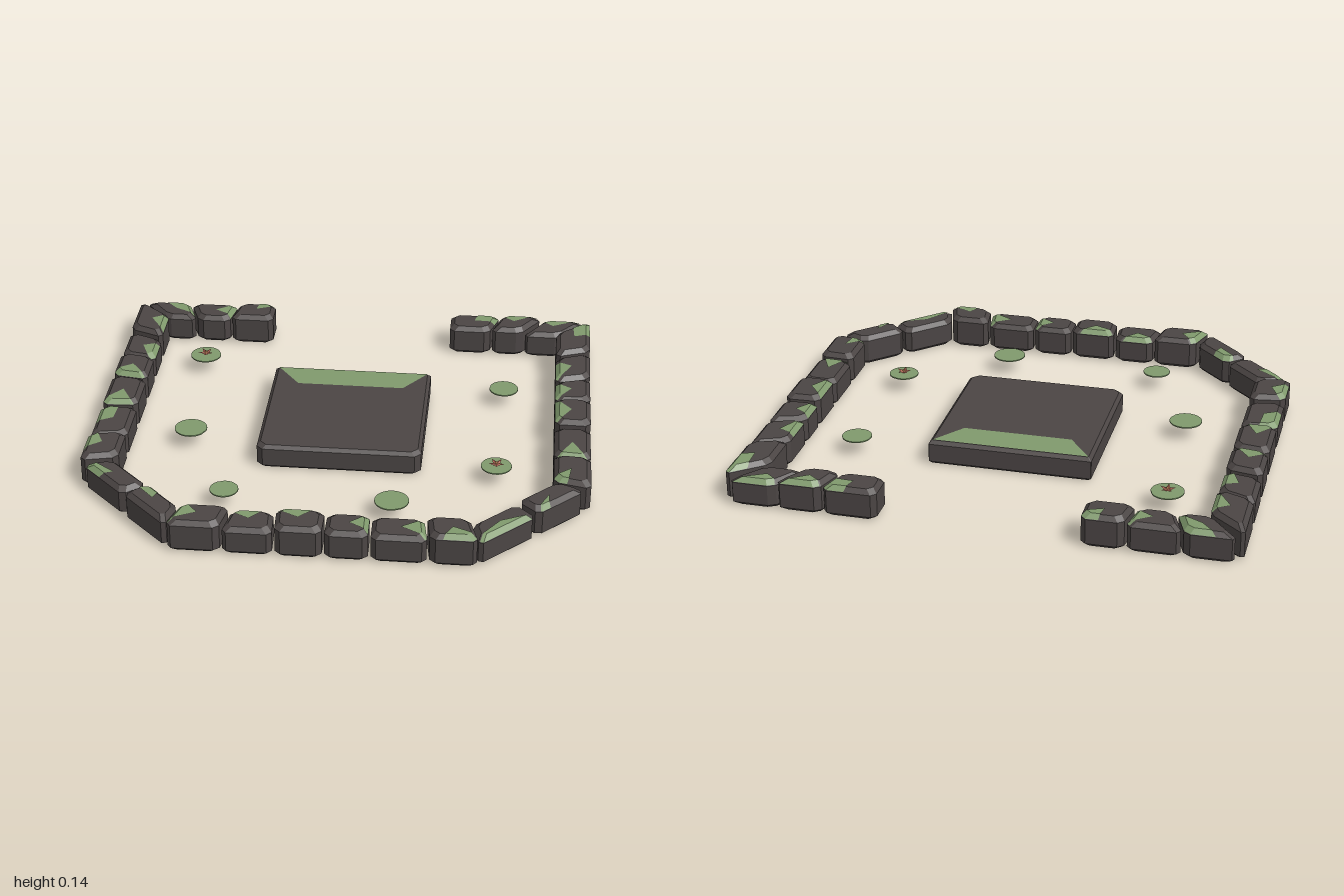
import * as THREE from 'three';

const stoneMat = new THREE.MeshStandardMaterial({ color: 0x4b4544 });
const mossMat = new THREE.MeshStandardMaterial({ color: 0x809a6d, side: THREE.DoubleSide });
const petalMat = new THREE.MeshStandardMaterial({ color: 0xb86f5c });
const heartMat = new THREE.MeshStandardMaterial({ color: 0xc98a5a });

const lerp2 = (p, q, t) => [p[0] + (q[0] - p[0]) * t, p[1] + (q[1] - p[1]) * t];

// Plan outline of a quad, inset by d, with its four corners cut by c
function outline(quad, d, c) {
  const dir = (p, q) => {
    const l = Math.hypot(q[0] - p[0], q[1] - p[1]);
    return [(q[0] - p[0]) / l, (q[1] - p[1]) / l];
  };
  const inset = quad.map((p, i) => {
    const e = dir(p, quad[(i + 1) % 4]), f = dir(p, quad[(i + 3) % 4]);
    const k = d / Math.abs(e[0] * f[1] - e[1] * f[0]);
    return [p[0] + k * (e[0] + f[0]), p[1] + k * (e[1] + f[1])];
  });
  const ring = [];
  inset.forEach((p, i) => {
    const q = inset[(i + 1) % 4], e = dir(p, q), c0 = c[i], c1 = c[(i + 1) % 4];
    ring.push([p[0] + e[0] * c0, p[1] + e[1] * c0], [q[0] - e[0] * c1, q[1] - e[1] * c1]);
  });
  return ring;
}

// Flat-faced mesh from a list of triangle corners
function meshOf(name, corners, mat) {
  const g = new THREE.BufferGeometry();
  g.setAttribute('position', new THREE.Float32BufferAttribute(corners.flat(), 3));
  g.computeVertexNormals();
  const m = new THREE.Mesh(g, mat);
  m.name = name;
  return m;
}

// Bevelled block lofted through four outlines
function block(name, quad, h, bevel, cut) {
  const levels = [[0, bevel * 0.8], [bevel * 0.8, 0], [h - bevel, 0], [h, bevel]];
  const rings = levels.map(([y, d]) => outline(quad, d, cut).map(([x, z]) => [x, y, z]));
  const tris = [];
  for (let k = 0; k < 3; k++) {
    for (let i = 0; i < 8; i++) {
      const j = (i + 1) % 8, lo = rings[k], hi = rings[k + 1];
      tris.push(lo[i], lo[j], hi[j], lo[i], hi[j], hi[i]);
    }
  }
  for (let i = 1; i < 7; i++) {
    tris.push(rings[3][0], rings[3][i], rings[3][i + 1]);
    tris.push(rings[0][0], rings[0][i + 1], rings[0][i]);
  }
  return meshOf(name, tris, stoneMat);
}

// Moss patch: hangs over the bevel from t0 to t1 round the rim, with its tip near the middle
function moss(quad, h, bevel, cut, [t0, t1]) {
  const at = (ring, y, t) => {
    const i = Math.floor(t), p = lerp2(ring[i % 8], ring[(i + 1) % 8], t - i);
    return [p[0], y + 0.003, p[1]];
  };
  const ts = [t0];
  for (let i = Math.floor(t0) + 1; i < t1; i++) ts.push(i);
  ts.push(t1);
  const top = outline(quad, bevel, cut), low = outline(quad, 0, cut);
  const rim = ts.map(t => at(top, h, t)), edge = ts.map(t => at(low, h - bevel, t));
  const mid = at(top, h, (t0 + t1) / 2);
  const centre = lerp2(lerp2(quad[0], quad[1], 0.5), lerp2(quad[3], quad[2], 0.5), 0.5);
  const [hx, hz] = lerp2([mid[0], mid[2]], centre, 0.9);
  const tris = [];
  for (let i = 0; i + 1 < rim.length; i++) {
    tris.push([hx, h + 0.003, hz], rim[i], rim[i + 1]);
    tris.push(edge[i], edge[i + 1], rim[i + 1], edge[i], rim[i + 1], rim[i]);
  }
  return meshOf('stoneMoss', tris, mossMat);
}

// Ring of border stones, added as straight runs between an outer and an inner line
function borderWall() {
  const wall = new THREE.Group();
  wall.name = 'borderWall';
  const cut = [0.02, 0.02, 0.02, 0.02], bevel = 0.018, gap = 0.005;
  let count = 0;
  // place(s, inner) gives the plan point at joint position s on either line
  const run = (place, outer, inner, patches) => patches.forEach((patch, i) => {
    const h = 0.125 - 0.01 * Math.cos((count++ - 12) * 2.4);
    const g = Math.sign(outer[i + 1] - outer[i]) * gap;
    const quad = [
      place(outer[i] + g, false), place(outer[i + 1] - g, false),
      place(inner[i + 1] - g, true), place(inner[i] + g, true)];
    wall.add(block('borderStone', quad, h, bevel, cut), moss(quad, h, bevel, cut, patch));
  });
  const back = (x, inner) => [x, inner ? -0.755 : -0.892];
  const front = (x, inner) => [x, inner ? 0.745 : 0.888];
  const side = sign => (z, inner) => [sign * (inner ? 0.855 : 1), z];
  const diagonal = sign => (x, inner) => [x, (inner ? 1.313 : 1.468) - sign * x];

  run(back, [-0.39, -0.56, -0.78, -0.985], [-0.39, -0.585, -0.73, -0.875],
    [[7, 8.4], [6, 7.6], [6, 8.6]]);
  run(side(-1), [-0.875, -0.615, -0.405, -0.212, 0.03, 0.272, 0.475],
    [-0.75, -0.557, -0.377, -0.19, 0.022, 0.25, 0.44],
    [[4.1, 5.3], [3, 4.8], [1, 3.5], [1, 3.2], [6.5, 8.6], [7, 8.7]]);
  run(diagonal(-1), [-0.985, -0.79, -0.59], [-0.875, -0.708, -0.555], [[7, 8.4], [4.6, 6.3]]);
  run(front, [-0.595, -0.385, -0.182, 0.004, 0.178, 0.4, 0.59],
    [-0.55, -0.36, -0.19, 0.004, 0.175, 0.38, 0.55],
    [[5.2, 7.2], [4.1, 5.9], [4.1, 5.8], [2, 3.5], [1.6, 3.4], [0.2, 1.9]]);
  run(diagonal(1), [0.583, 0.798, 0.98], [0.55, 0.718, 0.87], [[7.3, 9], [7.7, 8.2]]);
  run(side(1), [0.48, 0.255, 0.02, -0.19, -0.39, -0.605, -0.875],
    [0.445, 0.245, 0.017, -0.185, -0.345, -0.55, -0.755],
    [[5, 6.3], [5.7, 7.3], [4, 5.5], [4, 5.5], [4.2, 5.5], [0.5, 2.5]]);
  run(back, [0.985, 0.795, 0.61, 0.385], [0.875, 0.705, 0.565, 0.385],
    [[0, 1.9], [0, 1.8], [6.5, 8.4]]);
  return wall;
}

// Lily pad: thin disc with a wedge notch in the direction (dx, dz)
function lilyPad(x, z, r, dx, dz, flower) {
  const pad = new THREE.Group();
  pad.name = 'lilyPad';
  const a = Math.atan2(-dz, dx), s = new THREE.Shape();
  s.moveTo(Math.cos(a) * r * 0.25, Math.sin(a) * r * 0.25);
  s.absarc(0, 0, r, a + 0.25, a + Math.PI * 2 - 0.25, false);
  s.closePath();
  const g = new THREE.ExtrudeGeometry(s, { depth: 0.005, bevelEnabled: false, curveSegments: 20 });
  const leaf = new THREE.Mesh(g.rotateX(-Math.PI / 2), mossMat);
  leaf.name = 'leaf';
  pad.add(leaf);
  if (flower) {
    for (let i = 0; i < 5; i++) {
      const p = new THREE.ConeGeometry(0.014, 0.034, 4).toNonIndexed();
      p.scale(1, 1, 0.4).translate(0, 0.017, 0).rotateX(Math.PI / 2 - 0.25);
      p.rotateY(i * Math.PI * 0.4).translate(0, 0.01, 0).computeVertexNormals();
      const petal = new THREE.Mesh(p, petalMat);
      petal.name = 'petal';
      pad.add(petal);
    }
    const heart = new THREE.Mesh(new THREE.CylinderGeometry(0.006, 0.009, 0.012, 6), heartMat);
    heart.name = 'flowerHeart';
    heart.position.y = 0.014;
    pad.add(heart);
  }
  pad.position.set(x, 0.063, z);
  return pad;
}

export function createModel() {
  const model = new THREE.Group();
  model.name = 'stonePond';
  model.add(borderWall());

  // Central slab with a mossy back edge
  const slab = [[-0.33, -0.387], [-0.33, 0.268], [0.33, 0.268], [0.33, -0.387]];
  model.add(block('centreSlab', slab, 0.1, 0.014, [0.002, 0.025, 0.025, 0.002]));
  const y = 0.102;
  const [a, b, c, d] = [[-0.315, y, -0.373], [-0.22, y, -0.245], [0.22, y, -0.245], [0.315, y, -0.373]];
  model.add(meshOf('slabMoss', [a, b, c, a, c, d], mossMat));

  // Floating lily pads
  model.add(
    lilyPad(-0.655, -0.515, 0.065, 1, -0.4, true),
    lilyPad(0.64, -0.345, 0.06, -1, -0.15, false),
    lilyPad(-0.62, 0.1, 0.066, 1, 0.5, false),
    lilyPad(0.63, 0.27, 0.061, 0.4, -1, true),
    lilyPad(-0.418, 0.542, 0.056, -0.4, -1, false),
    lilyPad(0.237, 0.56, 0.067, 0.4, 1, false));

  return model;
}
